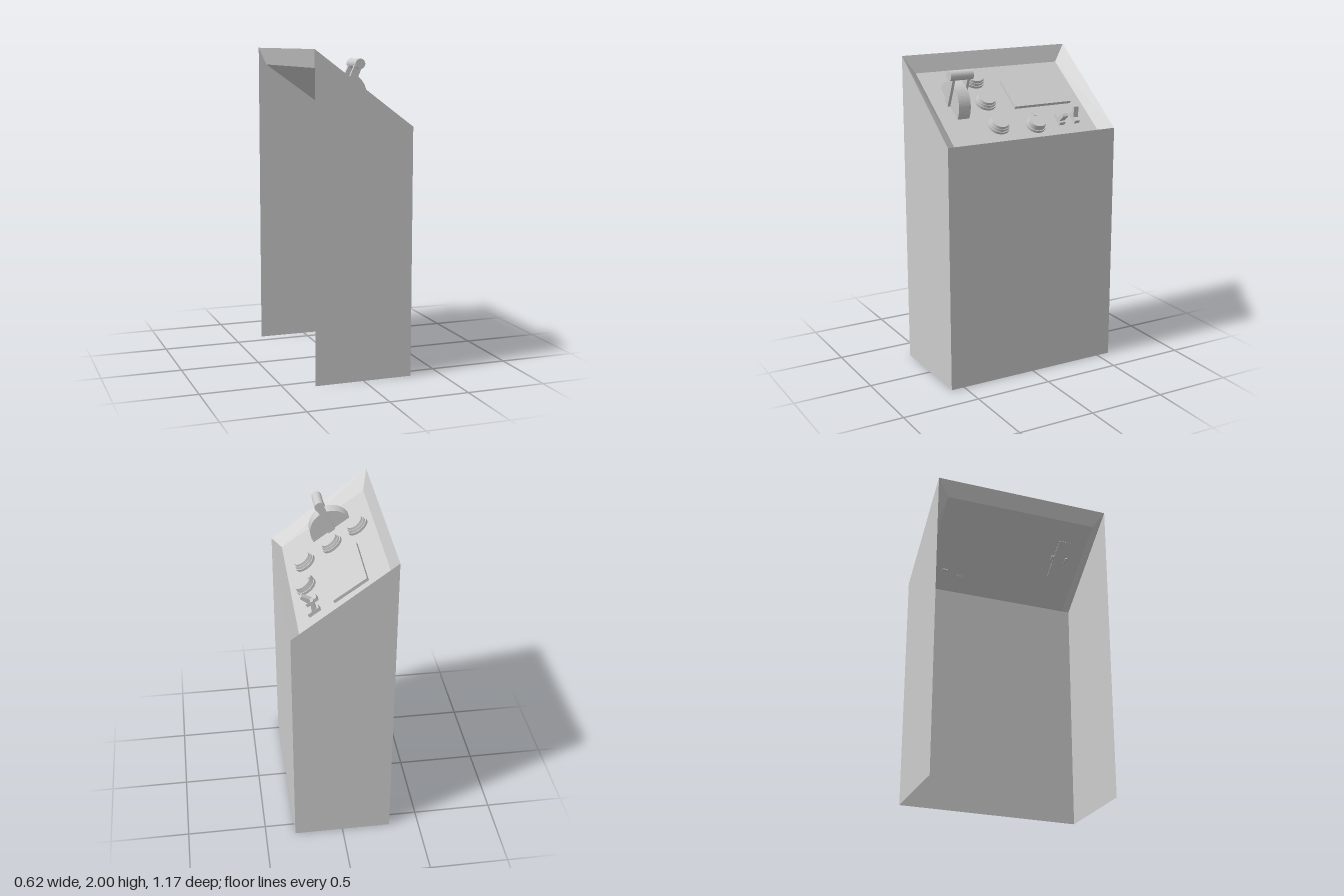
import * as THREE from 'three';

const material = new THREE.MeshStandardMaterial({ color: 0xcccccc });
const sheet = new THREE.MeshStandardMaterial({ color: 0xcccccc, side: THREE.DoubleSide, flatShading: true });

function add(parent, name, geometry, x = 0, y = 0, z = 0, mat = material) {
  const mesh = new THREE.Mesh(geometry, mat);
  mesh.name = name;
  mesh.position.set(x, y, z);
  parent.add(mesh);
  return mesh;
}

// Flat sheets, each from four corners in counter-clockwise order
function quads(list) {
  const pos = [];
  for (const [a, b, c, d] of list) pos.push(...a, ...b, ...c, ...a, ...c, ...d);
  const g = new THREE.BufferGeometry();
  g.setAttribute('position', new THREE.Float32BufferAttribute(pos, 3));
  g.computeVertexNormals();
  return g;
}

// Profile in x/y with its thickness centred on z
function plate(shape, depth) {
  const g = new THREE.ExtrudeGeometry(shape, { depth, bevelEnabled: false, curveSegments: 14 });
  return g.translate(0, 0, -depth / 2);
}

export function createModel() {
  const model = new THREE.Group();
  model.name = 'controlConsole';

  const W = 0.31, D = 0.587, yBack = 2, yFront = 1.54;
  const inBack = [-0.28, 1.89], inFront = [0.25, 1.512], inZ = 0.51;

  // Cabinet walls, open at the back and the bottom
  const side = (s) => {
    const q = [[-W, 0, s * D], [W, 0, s * D], [W, yFront, s * D], [-W, yBack, s * D]];
    return s > 0 ? q : q.reverse();
  };
  add(model, 'cabinetWalls', quads([
    side(1), side(-1),
    [[W, 0, D], [W, 0, -D], [W, yFront, -D], [W, yFront, D]],
  ]), 0, 0, 0, sheet);

  // Sloping recess: four bevels running down to the panel
  const outer = [[-W, yBack, D], [W, yFront, D], [W, yFront, -D], [-W, yBack, -D]];
  const inner = [[...inBack, inZ], [...inFront, inZ], [...inFront, -inZ], [...inBack, -inZ]];
  add(model, 'recessBevels', quads(outer.map((p, i) => {
    const j = (i + 1) % 4;
    return [p, outer[j], inner[j], inner[i]];
  })), 0, 0, 0, sheet);
  add(model, 'controlPanel', quads([inner]), 0, 0, 0, sheet);

  // Controls live in the panel's own frame: x downhill, y out of the panel
  const angle = Math.atan2(inBack[1] - inFront[1], inFront[0] - inBack[0]);
  const controls = new THREE.Group();
  controls.name = 'controls';
  controls.position.set(inBack[0], inBack[1], 0);
  controls.rotation.z = -angle;
  model.add(controls);
  const along = (x) => (x - inBack[0]) / Math.cos(angle);

  function group(name, x, z) {
    const g = new THREE.Group();
    g.name = name;
    g.position.set(along(x), 0, z);
    controls.add(g);
    return g;
  }
  const disc = (g, name, rTop, rBottom, y0, h) =>
    add(g, name, new THREE.CylinderGeometry(rTop, rBottom, h, 24), 0, y0 + h / 2, 0);

  // Screen
  add(controls, 'screen', new THREE.BoxGeometry(0.24, 0.02, 0.41), along(-0.066), 0.01, -0.225);

  // Row of push buttons
  for (const x of [-0.192, -0.033, 0.135]) {
    const g = group('pushButton', x, 0.153);
    disc(g, 'buttonBase', 0.07, 0.07, 0, 0.017);
    disc(g, 'buttonCollar', 0.061, 0.064, 0.017, 0.015);
    disc(g, 'buttonCap', 0.054, 0.057, 0.032, 0.016);
  }

  // Rotary dial with its pointer uphill
  const dial = group('dial', 0.157, -0.097);
  disc(dial, 'dialBase', 0.066, 0.066, 0, 0.017);
  disc(dial, 'dialCap', 0.056, 0.06, 0.017, 0.032);
  add(dial, 'dialPointer', new THREE.BoxGeometry(0.028, 0.032, 0.022), -0.052, 0.037, 0);

  // Toggle switches, one tipped uphill and one downhill
  for (const [z, tip, depth] of [[-0.39, 1, 0.035], [-0.28, -1, 0.039]]) {
    const g = group('toggleSwitch', 0.143, z);
    add(g, 'toggleBase', new THREE.BoxGeometry(0.08, 0.024, depth), 0, 0.012, 0);
    const paddle = new THREE.Shape([
      new THREE.Vector2(-0.019, 0), new THREE.Vector2(0.019, 0),
      new THREE.Vector2(0.009, 0.088), new THREE.Vector2(-0.009, 0.088),
    ]);
    add(g, 'togglePaddle', plate(paddle, depth * 0.96)).rotation.z = tip * 0.38;
  }

  // Throttle: half-round quadrant, two arms and a grip
  const throttle = group('throttle', -0.05, 0.357);
  const half = new THREE.Shape();
  half.absarc(0, 0, 0.138, 0, Math.PI, false);
  half.closePath();
  add(throttle, 'throttleQuadrant', plate(half, 0.08), 0, -0.004, 0);

  const lever = new THREE.Group();
  lever.name = 'throttleLever';
  lever.position.y = -0.004;
  lever.rotation.z = angle - 0.41;
  throttle.add(lever);
  const length = 0.205;
  for (const s of [-1, 1]) {
    add(lever, 'leverArm', new THREE.BoxGeometry(0.048, length, 0.018), 0, length / 2, s * 0.05);
  }
  const grip = new THREE.CylinderGeometry(0.031, 0.031, 0.156, 24).rotateX(Math.PI / 2);
  add(lever, 'leverGrip', grip, 0, length, 0);

  return model;
}
